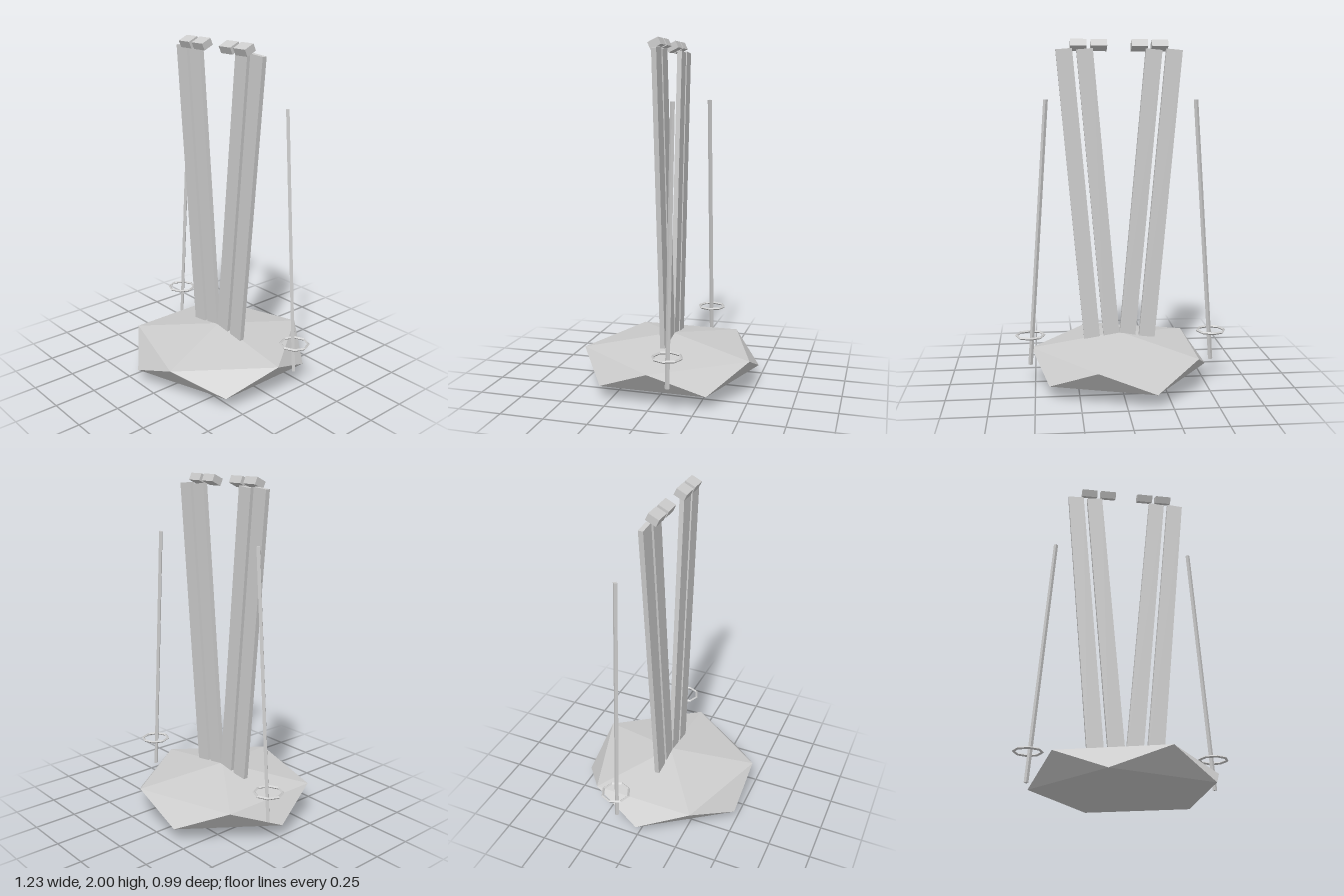
import * as THREE from 'three';
import { ConvexGeometry } from 'three/addons/geometries/ConvexGeometry.js';

export function createModel() {
  const model = new THREE.Group();
  const grey = new THREE.MeshStandardMaterial({ color: 0xcccccc, flatShading: true });
  grey.name = 'light grey';

  function add(name, geometry, x, y, z, parent = model) {
    const mesh = new THREE.Mesh(geometry, grey);
    mesh.name = name;
    mesh.position.set(x, y, z);
    parent.add(mesh);
    return mesh;
  }

  // Snow mound: a flattened icosahedron standing on one point
  const points = [new THREE.Vector3(0, 0.294, 0), new THREE.Vector3(0, 0.002, 0)];
  for (let i = 0; i < 5; i++) {
    const a = (i * Math.PI * 2) / 5;
    const x = 0.52 * Math.cos(a), z = 0.52 * Math.sin(a);
    points.push(new THREE.Vector3(x, 0.213, z), new THREE.Vector3(-x, 0.083, z));
  }
  add('snowMound', new ConvexGeometry(points), 0, 0, 0);

  const skiGeometry = new THREE.BoxGeometry(0.094, 1.685, 0.028);
  const tipGeometry = new THREE.BoxGeometry(0.093, 0.042, 0.065);
  const poleGeometry = new THREE.CylinderGeometry(0.013, 0.013, 1.514, 4);
  const basketGeometry = new THREE.TorusGeometry(0.08, 0.008, 4, 8).rotateX(Math.PI / 2);

  for (const side of [1, -1]) {
    const label = side > 0 ? 'left' : 'right';

    // Pair of leaning skis, each with a bent tip block
    const pair = new THREE.Group();
    pair.name = label + 'SkiPair';
    model.add(pair);
    for (const [skiX, tipX] of [[0.122, 0.116], [0.239, 0.232]]) {
      add('ski', skiGeometry, side * skiX, 1.104, 0, pair).rotation.z = -side * 0.09;
      add('skiTip', tipGeometry, side * tipX, 1.966, 0.023, pair).rotation.x = 0.44;
    }

    // Ski pole with a ring basket
    const pole = new THREE.Group();
    pole.name = label + 'Pole';
    model.add(pole);
    add('poleShaft', poleGeometry, side * 0.473, 0.906, -0.119, pole).rotation.z = side * 0.07;
    add('poleBasket', basketGeometry, side * 0.525, 0.325, -0.119, pole);
  }
  return model;
}
